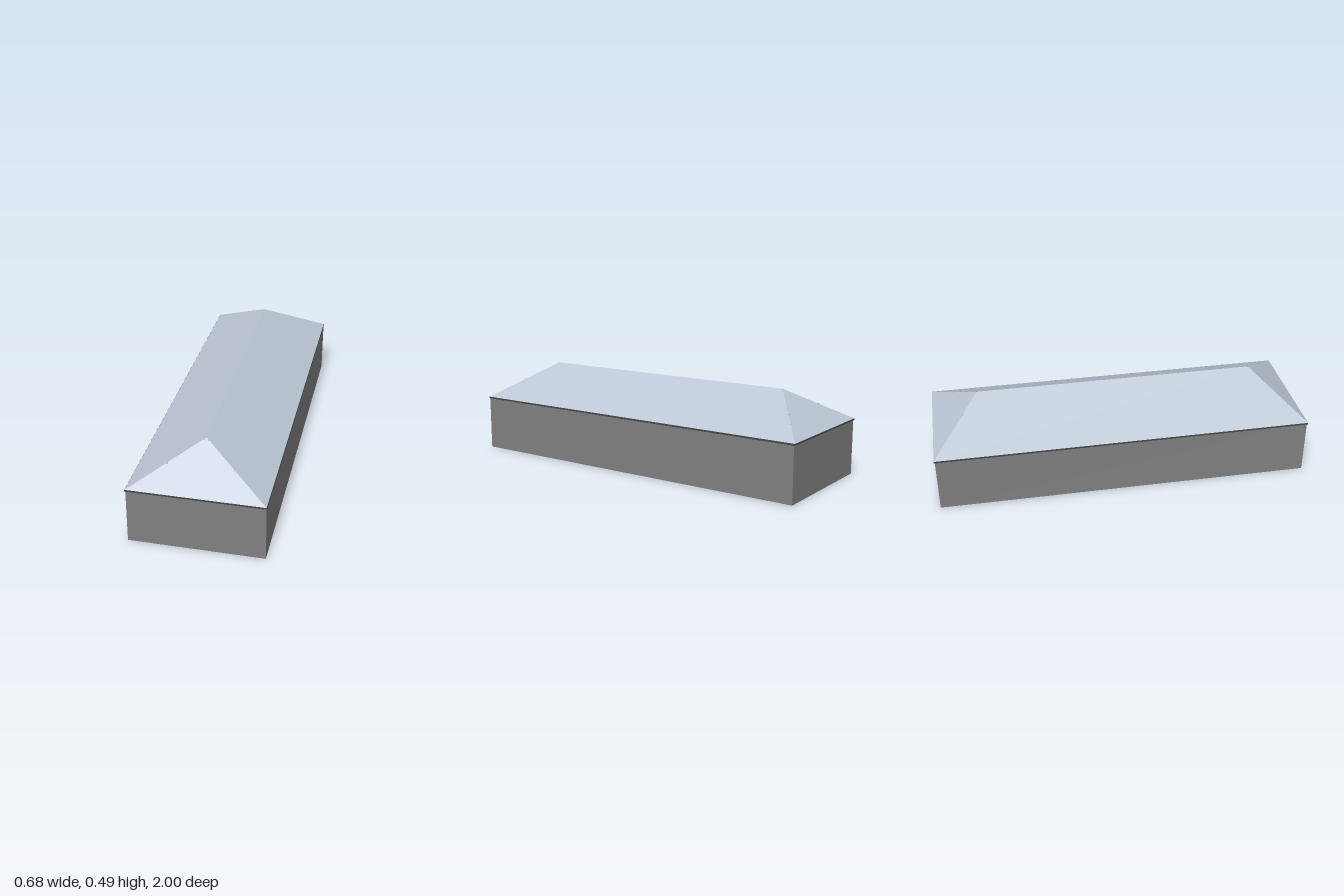
import * as THREE from 'three';

const W = 0.34, L = 1, EAVE = 0.302, RIDGE = 0.485, RIDGE_Z = 0.75, WALL_L = 0.995;

const paint = (color, extra = {}) => Object.assign(new THREE.MeshStandardMaterial(extra), { color: new THREE.Color(color) });
const wallMat = paint(0x808080, { side: THREE.DoubleSide });
const roofMat = paint(0xbcc6d4, { side: THREE.DoubleSide });
const timberMat = paint(0x484848);

// Flat panel from corners listed counter-clockwise as seen from outside
function panel(name, corners, material) {
  const pts = [];
  for (let i = 1; i < corners.length - 1; i++) pts.push(corners[0], corners[i], corners[i + 1]);
  const geo = new THREE.BufferGeometry().setFromPoints(pts.map(p => new THREE.Vector3(...p)));
  geo.computeVertexNormals();
  const mesh = new THREE.Mesh(geo, material);
  mesh.name = name;
  return mesh;
}

// Timber hung just below a roof surface, running from a to b
function beam(name, a, b, normal, drop = 0.001) {
  const w = 0.009, h = 0.009;
  const from = new THREE.Vector3(...a), to = new THREE.Vector3(...b);
  const dir = to.clone().sub(from);
  const length = dir.length();
  dir.normalize();
  const side = new THREE.Vector3().crossVectors(normal, dir).normalize();
  const up = new THREE.Vector3().crossVectors(dir, side);
  const mesh = new THREE.Mesh(new THREE.BoxGeometry(w, h, length), timberMat);
  mesh.quaternion.setFromRotationMatrix(new THREE.Matrix4().makeBasis(side, up, dir));
  mesh.position.copy(from).add(to).multiplyScalar(0.5).addScaledVector(up, -h / 2 - drop);
  mesh.name = name;
  return mesh;
}

function buildWalls() {
  const g = new THREE.Group();
  g.name = 'walls';
  // Corners in plan; the front right corner leans out slightly at the foot
  const foot = [[-0.343, WALL_L], [W, WALL_L], [W, -WALL_L], [-0.338, -WALL_L]];
  const head = [[-0.338, WALL_L], [W, WALL_L], [W, -WALL_L], [-0.338, -WALL_L]];
  ['frontWall', 'leftWall', 'backWall', 'rightWall'].forEach((name, i) => {
    const j = (i + 1) % 4;
    g.add(panel(name, [
      [foot[i][0], 0, foot[i][1]], [foot[j][0], 0, foot[j][1]],
      [head[j][0], EAVE, head[j][1]], [head[i][0], EAVE, head[i][1]],
    ], wallMat));
  });
  return g;
}

function buildRoof() {
  const g = new THREE.Group();
  g.name = 'roof';
  for (const s of [1, -1]) {
    const slope = [[s * W, EAVE, s * L], [s * W, EAVE, -s * L], [0, RIDGE, -s * RIDGE_Z], [0, RIDGE, s * RIDGE_Z]];
    g.add(panel(s > 0 ? 'leftSlope' : 'rightSlope', slope, roofMat));
    const hip = [[-s * W, EAVE, s * L], [s * W, EAVE, s * L], [0, RIDGE, s * RIDGE_Z]];
    g.add(panel(s > 0 ? 'frontHip' : 'backHip', hip, roofMat));

    // Thin eaves boards
    const long = new THREE.Mesh(new THREE.BoxGeometry(0.003, 0.009, 2 * L), timberMat);
    long.position.set(s * (W - 0.0005), EAVE - 0.005, 0);
    const short = new THREE.Mesh(new THREE.BoxGeometry(2 * W, 0.009, 0.004), timberMat);
    short.position.set(0, EAVE - 0.005, s * (L - 0.002));
    long.name = short.name = 'eavesBoard';
    g.add(long, short);
  }
  return g;
}

function buildRafters() {
  const g = new THREE.Group();
  g.name = 'rafters';
  const rise = RIDGE - EAVE, inset = 0.97;
  // Common rafters, with an open bay towards the front
  const commons = [0.757, -0.714];
  for (let i = 0; i < 8; i++) commons.push(0.148 - i * 0.107);
  const zs = [...commons, 0.87, -0.87];

  for (const s of [1, -1]) {
    const sideNormal = new THREE.Vector3(s * rise, W, 0).normalize();
    const endNormal = new THREE.Vector3(0, L - RIDGE_Z, s * rise).normalize();
    // Rafters under the long slopes stop at the ridge or the hip line
    for (const z of zs) {
      const t = Math.min(1, (L - Math.abs(z)) / (L - RIDGE_Z));
      g.add(beam('rafter', [s * W * inset, EAVE + rise * (1 - inset), z],
        [s * W * (1 - t), EAVE + rise * t, z], sideNormal));
    }
    // Rafters under the hipped ends
    for (let i = -2; i <= 2; i++) {
      const x = i * 0.113, t = 1 - Math.abs(x) / W, u = 0.03;
      g.add(beam('endRafter', [x, EAVE + rise * u, s * (L - (L - RIDGE_Z) * u)],
        [x, EAVE + rise * t, s * (L - (L - RIDGE_Z) * t)], endNormal));
    }
    // Hip rafters under the four sloping corners
    for (const e of [1, -1]) {
      const u = 0.03;
      const normal = sideNormal.clone().add(new THREE.Vector3(0, L - RIDGE_Z, e * rise).normalize());
      g.add(beam('hipRafter', [s * W * (1 - u), EAVE + rise * u, e * (L - (L - RIDGE_Z) * u)],
        [0, RIDGE, e * RIDGE_Z], normal, 0.004));
    }
  }
  return g;
}

export function createModel() {
  const model = new THREE.Group();
  model.name = 'hippedRoofBuilding';
  model.add(buildWalls(), buildRoof(), buildRafters());
  return model;
}
